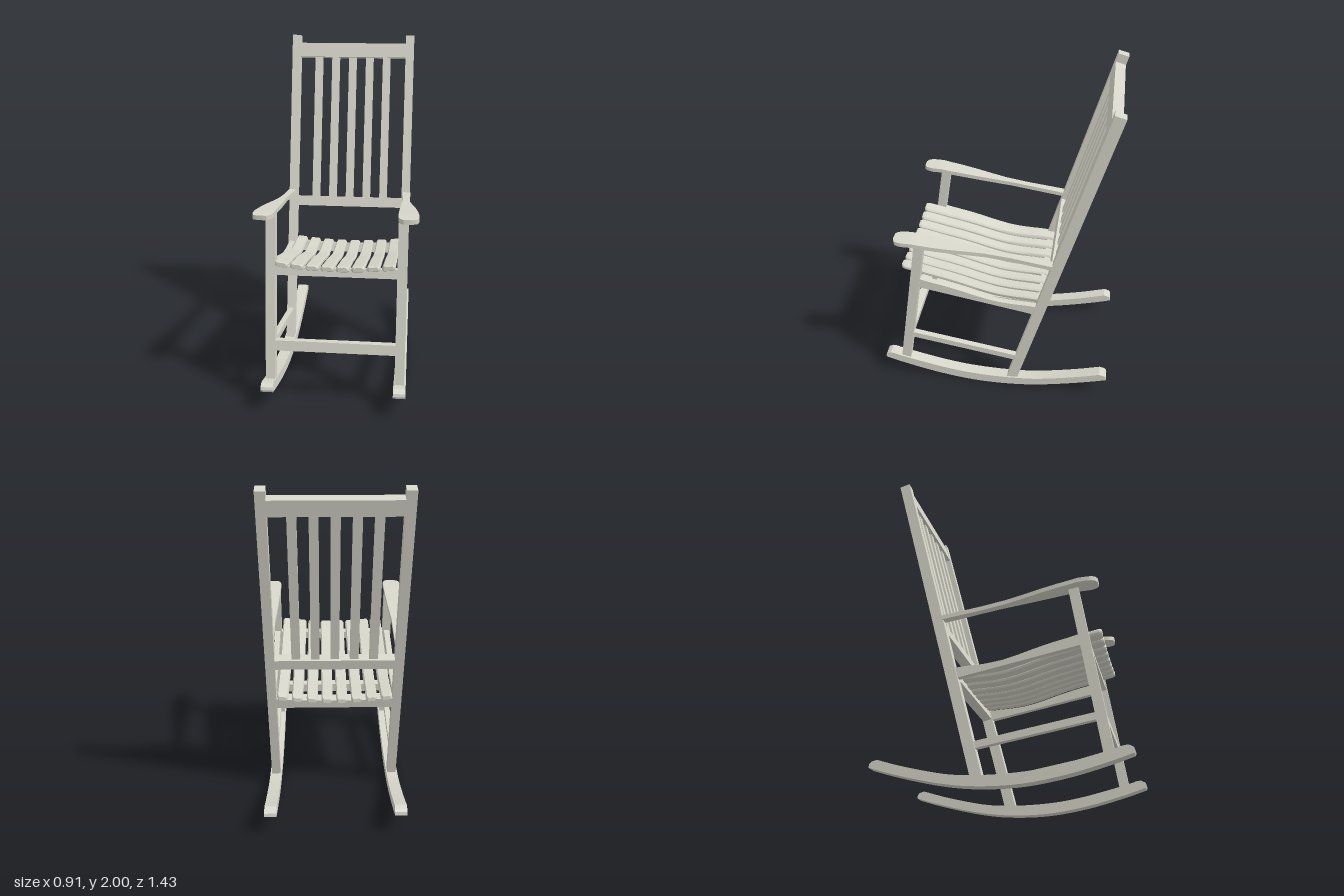
import * as THREE from 'three';
import { toCreasedNormals } from 'three/addons/utils/BufferGeometryUtils.js';

const V2 = (p) => new THREE.Vector2(p[0], p[1]);

export function createModel() {
  const chair = new THREE.Group();
  chair.name = 'rockingChair';
  const paint = new THREE.MeshStandardMaterial({ color: 0xd6d6ca });
  paint.name = 'paleGreyPaint';

  const add = (name, geo, parent = chair) => {
    const mesh = new THREE.Mesh(geo, paint);
    mesh.name = name;
    parent.add(mesh);
    return mesh;
  };

  // Straight bar between two [z, y] points at a given x
  const bar = (name, x, a, b, width, depth) => {
    const dz = b[0] - a[0], dy = b[1] - a[1];
    const mesh = add(name, new THREE.BoxGeometry(width, Math.hypot(dz, dy), depth));
    mesh.position.set(x, (a[1] + b[1]) / 2, (a[0] + b[0]) / 2);
    mesh.rotation.x = Math.atan2(dz, dy);
    return mesh;
  };

  // Side outline in [z, y], extruded across x
  const sideProfile = (name, points, x, width) => {
    const geo = new THREE.ExtrudeGeometry(new THREE.Shape(points.map(V2)), { depth: width, bevelEnabled: false });
    geo.rotateY(-Math.PI / 2).translate(x + width / 2, 0, 0);
    return add(name, toCreasedNormals(geo, 0.5));
  };

  // Skin over rings of [x, y, z] that run towards +z, each counter-clockwise seen from +z
  const loft = (rings) => {
    const n = rings[0].length, last = (rings.length - 1) * n, index = [];
    for (let r = 0; r < last; r += n) {
      for (let i = 0; i < n; i++) {
        const j = (i + 1) % n;
        index.push(r + i, r + j, r + n + j, r + i, r + n + j, r + n + i);
      }
    }
    for (let i = 1; i < n - 1; i++) index.push(0, i + 1, i, last, last + i, last + i + 1);
    const geo = new THREE.BufferGeometry();
    geo.setAttribute('position', new THREE.Float32BufferAttribute(rings.flat(2), 3));
    geo.setIndex(index);
    return toCreasedNormals(geo, 0.6);
  };

  const smooth = (points, n) => new THREE.SplineCurve(points.map(V2)).getPoints(n).map((p) => [p.x, p.y]);
  // Piecewise-linear lookup in ascending [key, value] pairs
  const lookup = (table, k) => {
    const i = Math.max(1, table.findIndex((p) => p[0] >= k));
    const [a, b] = [table[i - 1], table[i]];
    return THREE.MathUtils.lerp(a[1], b[1], THREE.MathUtils.clamp((k - a[0]) / (b[0] - a[0]), 0, 1));
  };

  // Centre lines of the leaning legs
  const backZ = (y) => -0.107 - (y - 0.045) * 0.2686;
  const frontZ = (y) => 0.585 - (y - 0.14) * 0.156;
  const backTilt = -Math.atan(0.2686), frontTilt = -Math.atan(0.156);

  // Seat surface: wavy from front to back, dished from side to side
  const seatLine = smooth([[-0.315, 0.703], [-0.2, 0.711], [-0.1, 0.714], [0, 0.724], [0.1, 0.747], [0.2, 0.776],
    [0.3, 0.802], [0.4, 0.824], [0.49, 0.846], [0.575, 0.864]], 60);
  const dish = (x) => 0.018 * ((x / 0.3) ** 2 - 1);

  // Rockers
  const rockerLow = smooth([[-0.71, 0.14], [-0.6, 0.105], [-0.45, 0.064], [-0.3, 0.03], [-0.15, 0.008], [0.03, 0],
    [0.2, 0.01], [0.4, 0.043], [0.6, 0.093], [0.712, 0.127]], 40);
  const rockerHigh = smooth([[0.61, 0.153], [0.51, 0.129], [0.35, 0.094], [0.18, 0.069], [0, 0.061], [-0.15, 0.066],
    [-0.286, 0.081], [-0.5, 0.131], [-0.665, 0.181]], 36);
  const rocker = [...rockerLow, [0.717, 0.14], [0.712, 0.157], [0.685, 0.171], [0.66, 0.168],
    ...rockerHigh, [-0.695, 0.173], [-0.707, 0.16]];

  // Side rails under the seat, top edge following the seat
  const railTop = seatLine.filter((p) => p[0] > -0.27 && p[0] < 0.47).reverse().map(([z, y]) => [z, y - 0.022]);
  const sideRail = [[-0.265, 0.619], [0.48, 0.754], ...railTop];

  for (const s of [-1, 1]) {
    const side = s > 0 ? 'left' : 'right';
    const x = s * 0.371;
    sideProfile(side + 'Rocker', rocker, s * 0.373, 0.07);
    bar(side + 'BackPost', x, [backZ(0.045), 0.045], [backZ(1.991), 1.991], 0.054, 0.063);
    bar(side + 'FrontLeg', x, [frontZ(0.13), 0.13], [frontZ(1.11), 1.11], 0.054, 0.057);
    bar(side + 'LowerStretcher', x, [-0.137, 0.231], [0.54, 0.344], 0.035, 0.04);
    sideProfile(side + 'SeatRail', sideRail, x, 0.036);

    // Armrest: narrow at the back, flaring outwards to a rounded front
    const outer = [[-0.335, 0.402], [-0.1, 0.397], [0.05, 0.403], [0.15, 0.417], [0.25, 0.434], [0.35, 0.446],
      [0.5, 0.457], [0.54, 0.455], [0.565, 0.445], [0.578, 0.42]];
    const inner = [[-0.335, 0.352], [0, 0.357], [0.2, 0.348], [0.4, 0.343], [0.52, 0.342], [0.56, 0.35], [0.578, 0.37]];
    const armTop = [[-0.335, 1.018], [0.42, 1.122], [0.47, 1.13], [0.578, 1.132]];
    const stations = [-0.335, -0.2, -0.1, 0, 0.05, 0.1, 0.15, 0.2, 0.25, 0.3, 0.35, 0.42, 0.47, 0.52, 0.545, 0.565, 0.578];
    add(side + 'Armrest', loft(stations.map((z) => {
      const [x0, x1] = [s * lookup(inner, z), s * lookup(outer, z)].sort((a, b) => a - b);
      const y = lookup(armTop, z), b = y - 0.026;
      return [[x0, b, z], [x1, b, z], [x1, y, z], [x0, y, z]];
    })));
  }

  // Cross rails between the legs
  const crossRail = (name, y, z, height, depth, tilt, sag = 0) => {
    const w = 0.35, h = height / 2;
    const shape = new THREE.Shape();
    shape.moveTo(-w, -h);
    shape.lineTo(w, -h);
    shape.lineTo(w, h);
    shape.quadraticCurveTo(0, h - 2 * sag, -w, h);
    const geo = new THREE.ExtrudeGeometry(shape, { depth, bevelEnabled: false });
    geo.translate(0, 0, -depth / 2);
    const mesh = add(name, toCreasedNormals(geo, 0.5));
    mesh.position.set(0, y, z);
    mesh.rotation.x = tilt;
  };
  crossRail('topBackRail', 1.898, backZ(1.898), 0.09, 0.06, backTilt);
  crossRail('lowerBackRail', 0.94, backZ(0.94), 0.063, 0.06, backTilt);
  crossRail('rearSeatRail', 0.655, backZ(0.655), 0.07, 0.055, backTilt, 0.015);
  crossRail('frontSeatRail', 0.783, frontZ(0.783), 0.054, 0.045, frontTilt, 0.006);
  crossRail('frontStretcher', 0.347, frontZ(0.347), 0.06, 0.05, frontTilt);

  // Upright back slats
  for (let i = -2; i <= 2; i++) {
    bar('backSlat', i * 0.111, [backZ(0.95), 0.95], [backZ(1.88), 1.88], 0.05, 0.03);
  }

  // Seat slats: rounded bars following the seat surface
  const thick = 0.032;
  const corner = [[-1, -0.4], [-0.8, -1], [0.8, -1], [1, -0.4], [1, 0.4], [0.8, 1], [-0.8, 1], [-1, 0.4]];
  for (let i = 0; i < 8; i++) {
    const rings = seatLine.map(([z, y], k) => {
      const t = k / (seatLine.length - 1);
      const end = Math.min(k, seatLine.length - 1 - k);
      const pinch = end === 0 ? 0.72 : end === 1 ? 0.92 : 1;
      const cx = (i - 3.5) * (0.088 - 0.003 * t);
      const half = (0.033 + 0.004 * t) * pinch;
      return corner.map(([u, v]) => {
        const x = cx + u * half;
        return [x, y - thick / 2 + (v * thick * pinch) / 2 + dish(x), z];
      });
    });
    add('seatSlat', loft(rings));
  }

  return chair;
}
